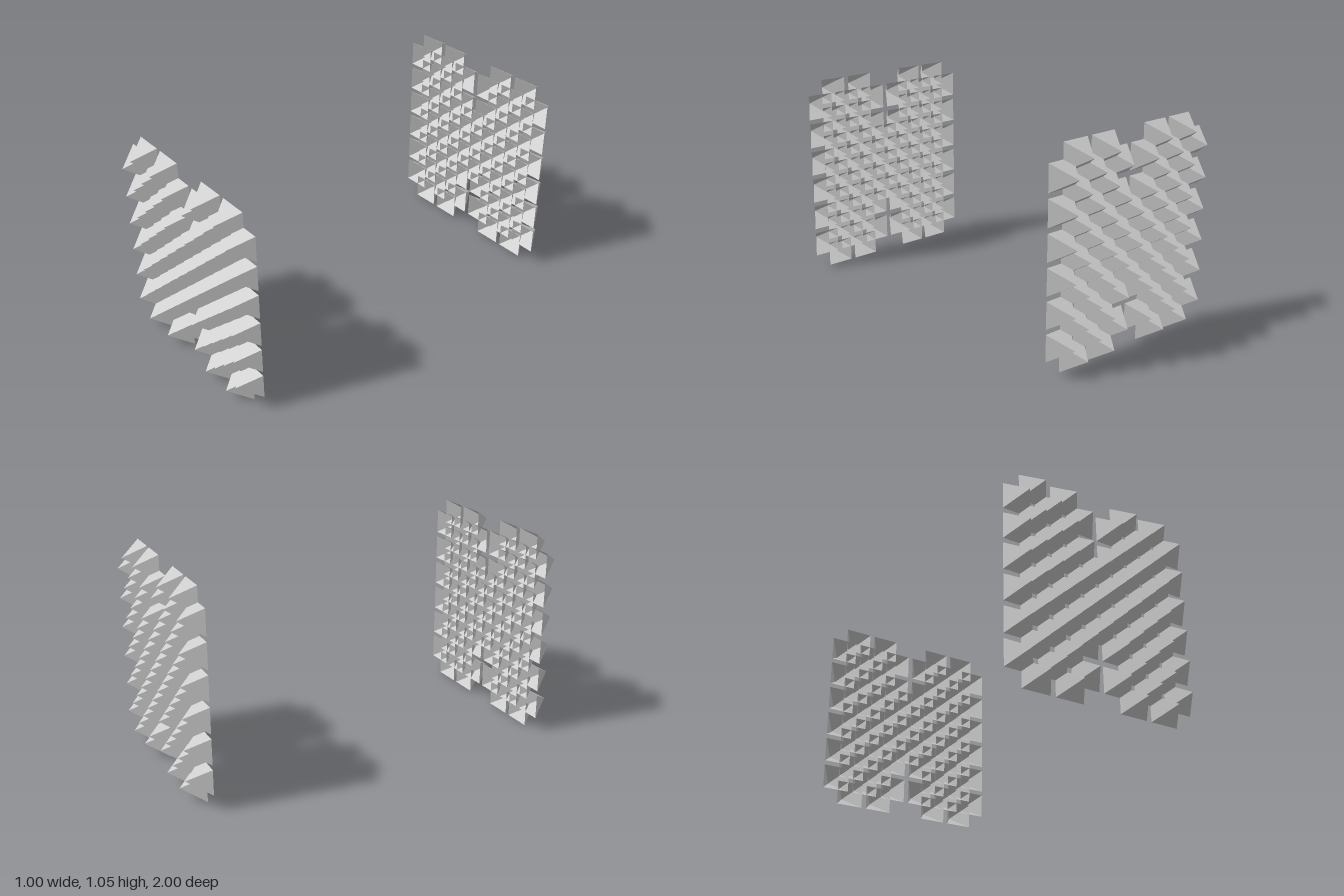
import * as THREE from 'three';
import { mergeGeometries } from 'three/addons/utils/BufferGeometryUtils.js';

const ROWS = 13, STEP_X = 0.085, STEP_Y = 0.0763;
const HALF_X = 0.072, HALF_Y = 0.0645, DEPTH = 0.107, BASE_Z = 0.893;

// Open-based hollow pyramid, base on z = 0, apex towards +z
function pyramid(x, y) {
  const g = new THREE.ConeGeometry(Math.SQRT2, DEPTH, 4, 1, true);
  g.rotateY(Math.PI / 4).rotateX(Math.PI / 2);
  g.scale(HALF_X, HALF_Y, 1);
  return g.translate(x, y, DEPTH / 2);
}

// Staggered grid of pyramids, notched in the middle of the top and bottom
function panelGeometry() {
  const parts = [];
  for (let row = 0; row < ROWS; row++) {
    for (let col = -5; col <= 5; col++) {
      if ((row + col) % 2 !== 0) continue;
      if (col === 0 && (row < 4 || row > 8)) continue;
      parts.push(pyramid(col * STEP_X, HALF_Y + row * STEP_Y));
    }
  }
  return mergeGeometries(parts);
}

export function createModel() {
  const group = new THREE.Group();
  group.name = 'pyramidPanels';
  const material = new THREE.MeshStandardMaterial({
    color: 0xcccccc, flatShading: true, side: THREE.DoubleSide,
  });
  const geometry = panelGeometry();

  // Front panel points forwards
  const front = new THREE.Mesh(geometry, material);
  front.name = 'frontPanel';
  front.position.set(-0.002, 0, BASE_Z);

  // Back panel points backwards, set very slightly higher
  const back = new THREE.Mesh(geometry, material);
  back.name = 'backPanel';
  back.rotation.y = Math.PI;
  back.position.set(0.002, 0.005, -BASE_Z);

  group.add(front, back);
  return group;
}
